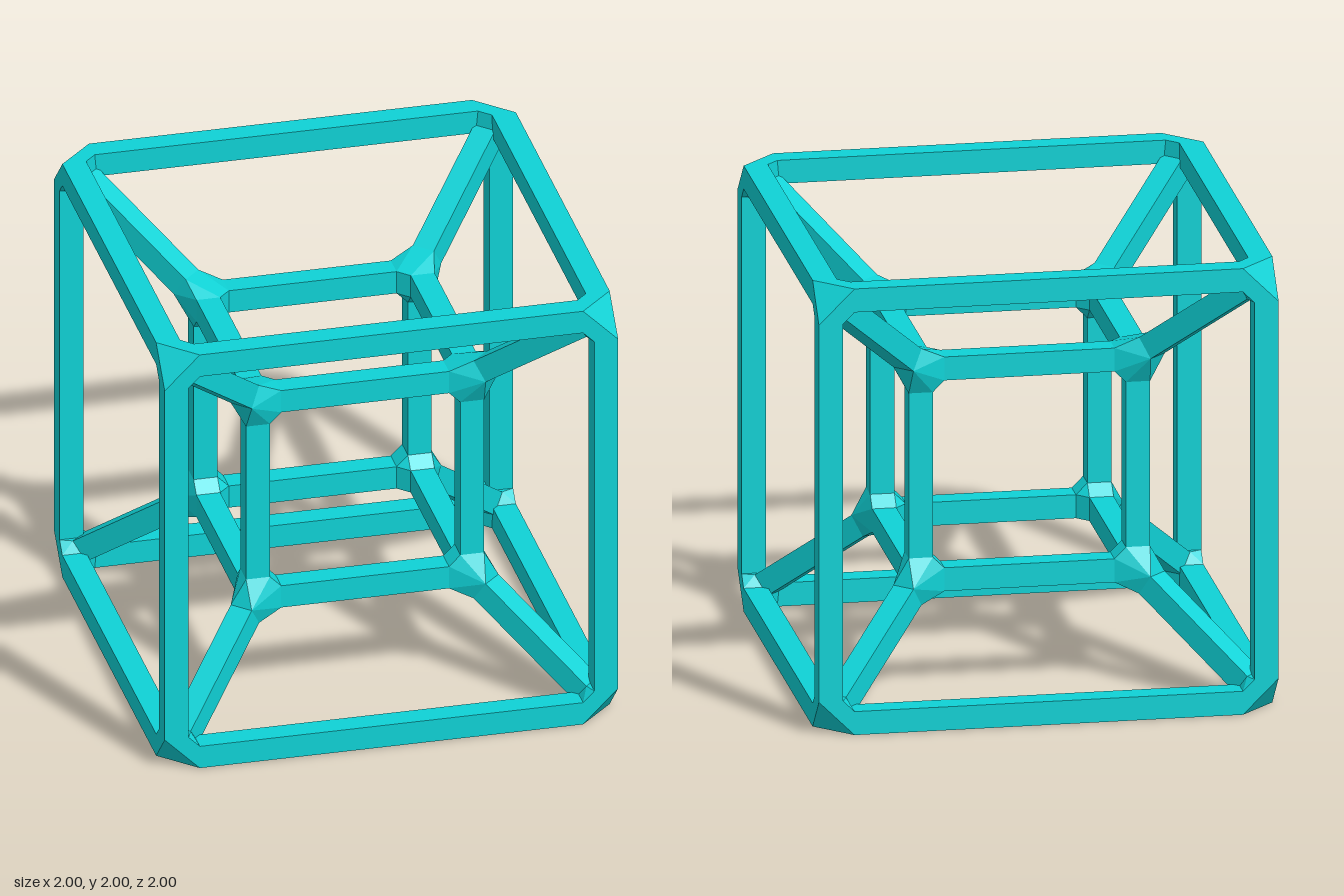
import * as THREE from 'three';
import { ConvexGeometry } from 'three/addons/geometries/ConvexGeometry.js';

const BAR = 0.105;      // thickness of every square bar
const SETBACK = 0.1025; // distance from a joint centre to the bar end
const OUTER = 1 - BAR / 2;
const INNER = 0.4725;

export function createModel() {
  const group = new THREE.Group();
  group.name = 'nestedCubeFrame';
  const material = new THREE.MeshStandardMaterial({ color: 0x0fd2d6, flatShading: true });

  const add = (geometry, name) => {
    const mesh = new THREE.Mesh(geometry, material);
    mesh.name = name;
    group.add(mesh);
    return mesh;
  };

  // Joint centres: corner i of each cube, one bit per axis
  const corner = (i, r) =>
    new THREE.Vector3(i & 1 ? r : -r, i & 2 ? r : -r, i & 4 ? r : -r);
  const joints = [];
  for (const [r, name] of [[OUTER, 'outerCorner'], [INNER, 'innerCorner']]) {
    for (let i = 0; i < 8; i++) joints.push({ centre: corner(i, r), name, points: [] });
  }

  // Square bar between two joints; its end corners shape the joint hulls
  function addBar(a, b, name) {
    const dir = b.centre.clone().sub(a.centre);
    const length = dir.length() - 2 * SETBACK;
    dir.normalize();
    const ref = Math.abs(dir.y) > 0.9 ? new THREE.Vector3(0, 0, 1) : new THREE.Vector3(0, 1, 0);
    const side = ref.cross(dir).normalize();
    const up = dir.clone().cross(side);
    const matrix = new THREE.Matrix4().makeBasis(side, up, dir);
    matrix.setPosition(a.centre.clone().add(b.centre).multiplyScalar(0.5));
    add(new THREE.BoxGeometry(BAR, BAR, length).applyMatrix4(matrix), name);

    for (const [joint, end] of [[a, -1], [b, 1]]) {
      for (const u of [-1, 1]) for (const v of [-1, 1]) {
        joint.points.push(new THREE.Vector3(u * BAR / 2, v * BAR / 2, end * length / 2).applyMatrix4(matrix));
      }
    }
  }

  // Edges of both cubes and the diagonals joining them
  for (let i = 0; i < 8; i++) {
    for (const bit of [1, 2, 4]) {
      if (i & bit) continue;
      addBar(joints[i], joints[i | bit], 'outerBar');
      addBar(joints[8 + i], joints[8 + (i | bit)], 'innerBar');
    }
    addBar(joints[8 + i], joints[i], 'diagonalBar');
  }

  // Faceted joints wrapped around the four bar ends that meet there
  for (const { centre, name, points } of joints) {
    const local = points.map((p) => p.clone().sub(centre));
    add(new ConvexGeometry(local), name).position.copy(centre);
  }

  // Stand the frame on the ground
  for (const part of group.children) part.position.y += 1;
  return group;
}
